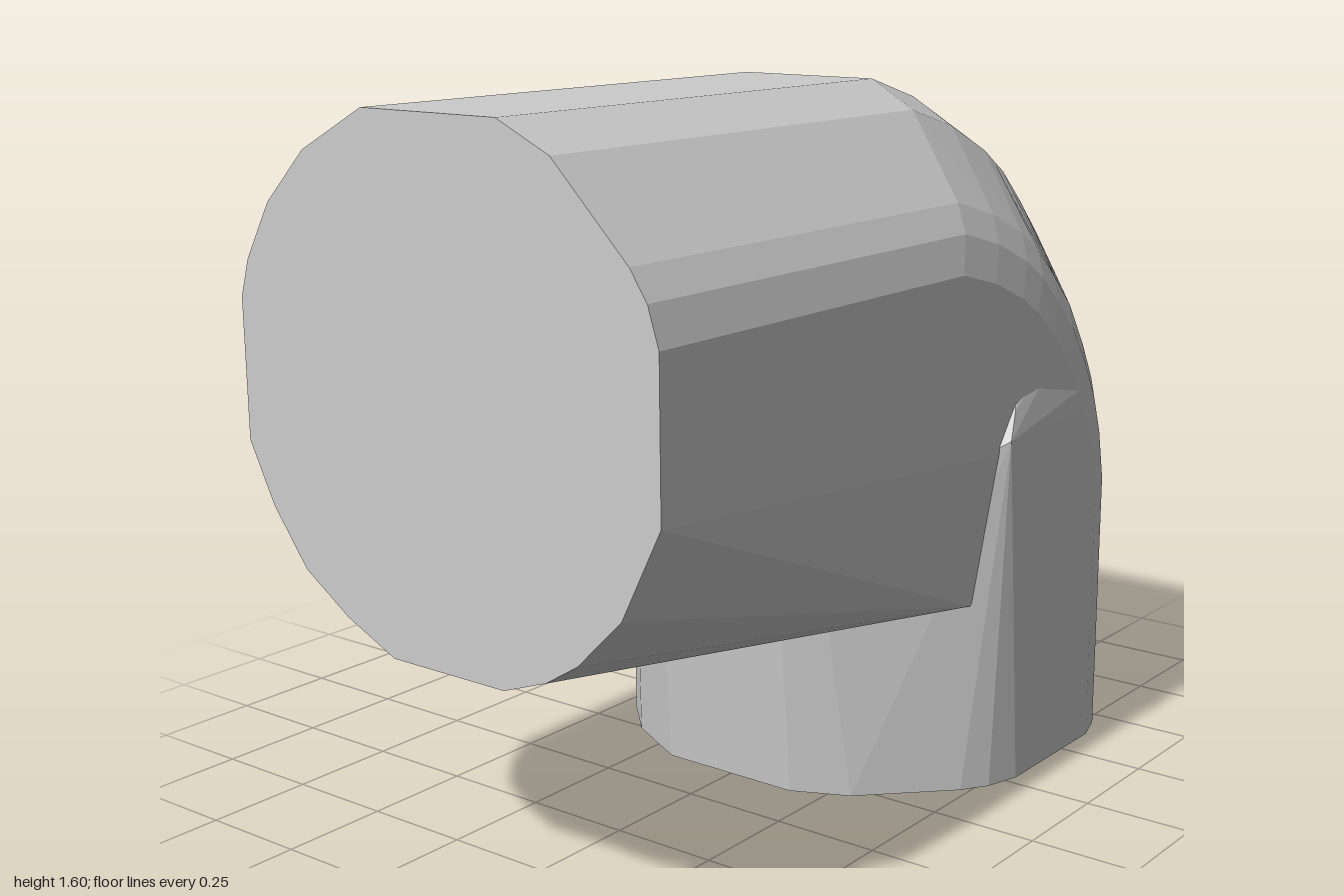
import * as THREE from 'three';
import { ConvexGeometry } from 'three/addons/geometries/ConvexGeometry.js';

// Upper half of the pipe mouth (x, y), left to right over the top
const upper = [
  [-0.555, 0.9], [-0.555, 1.2], [-0.53, 1.28], [-0.46, 1.4], [-0.35, 1.51], [-0.18, 1.6],
  [0.17, 1.6], [0.3, 1.54], [0.48, 1.36], [0.52, 1.3], [0.545, 1.22], [0.545, 0.9],
];
// Lower half of the front mouth (x, y)
const lower = [
  [0.45, 0.71], [0.34, 0.6], [0.26, 0.55], [0.15, 0.51],
  [-0.15, 0.51], [-0.28, 0.57], [-0.4, 0.65], [-0.49, 0.77],
];
// Outer line of the bend (z, y), from the top down to the back
const bend = [
  [-0.2, 1.6], [-0.37, 1.55], [-0.52, 1.48], [-0.61, 1.42], [-0.7, 1.335],
  [-0.79, 1.24], [-0.87, 1.115], [-0.93, 1.0], [-0.97, 0.88], [-1.0, 0.72],
];
const SEAM_Z = -0.52;

const vec = ([x, y, z]) => new THREE.Vector3(x, y, z);

// Each mouth point follows the bend; lower points start earlier and end lower
function bendPoints() {
  const points = [];
  for (const [x, py] of upper) {
    const drop = 1.6 - py;
    const startZ = -0.2 + 0.53 * drop, endZ = 0.6 - py, endY = 0.72 - 0.3 * drop;
    const path = bend.map(([z, y]) => vec([
      x,
      endY + (py - endY) * (y - 0.72) / 0.88,
      startZ + (endZ - startZ) * (-0.2 - z) / 0.8,
    ]));
    points.push(...path);
    // Extra point where the path crosses the seam, shared by both pipes
    for (let i = 1; i < path.length; i++) {
      const a = path[i - 1], b = path[i];
      if (a.z > SEAM_Z && b.z < SEAM_Z) points.push(a.clone().lerp(b, (a.z - SEAM_Z) / (a.z - b.z)));
    }
  }
  return points;
}

function hull(name, points, material) {
  const mesh = new THREE.Mesh(new ConvexGeometry(points), material);
  mesh.name = name;
  return mesh;
}

export function createModel() {
  const group = new THREE.Group();
  group.name = 'pipeElbow';
  const material = new THREE.MeshStandardMaterial({ color: 0xcccccc, flatShading: true });
  const elbow = bendPoints();

  // Horizontal arm: front mouth, first part of the bend, wide lower lip at the inner corner
  const arm = [...upper, ...lower].map(([x, y]) => vec([x, y, 1]));
  arm.push(...elbow.filter((p) => p.z >= SEAM_Z - 0.001 && p.y >= 0.82));
  arm.push(...[[-0.55, 0.45, -0.13], [-0.4, 0.445, -0.13], [0.5, 0.45, -0.13], [0.545, 0.8, -0.16]].map(vec));
  group.add(hull('horizontalPipe', arm, material));

  // Upright leg: round foot, rest of the bend, slanted inner face and slightly flared sides
  const leg = upper.flatMap(([x, y]) => [vec([x, 0, 0.6 - y]), vec([x, 0, y - 1.5])]);
  leg.push(...elbow.filter((p) => p.z <= SEAM_Z + 0.001));
  leg.push(...[
    [0.17, 0.47, 0.14], [-0.17, 0.47, 0.14], [0.24, 0.6, 0.1], [-0.3, 0.6, 0.08],
    [0.565, 0.83, -0.18], [0.55, 0.89, -0.22], [0.55, 0.83, -0.5],
    [-0.57, 0.83, -0.3], [-0.56, 0.9, -0.32],
  ].map(vec));
  group.add(hull('verticalPipe', leg, material));

  return group;
}
